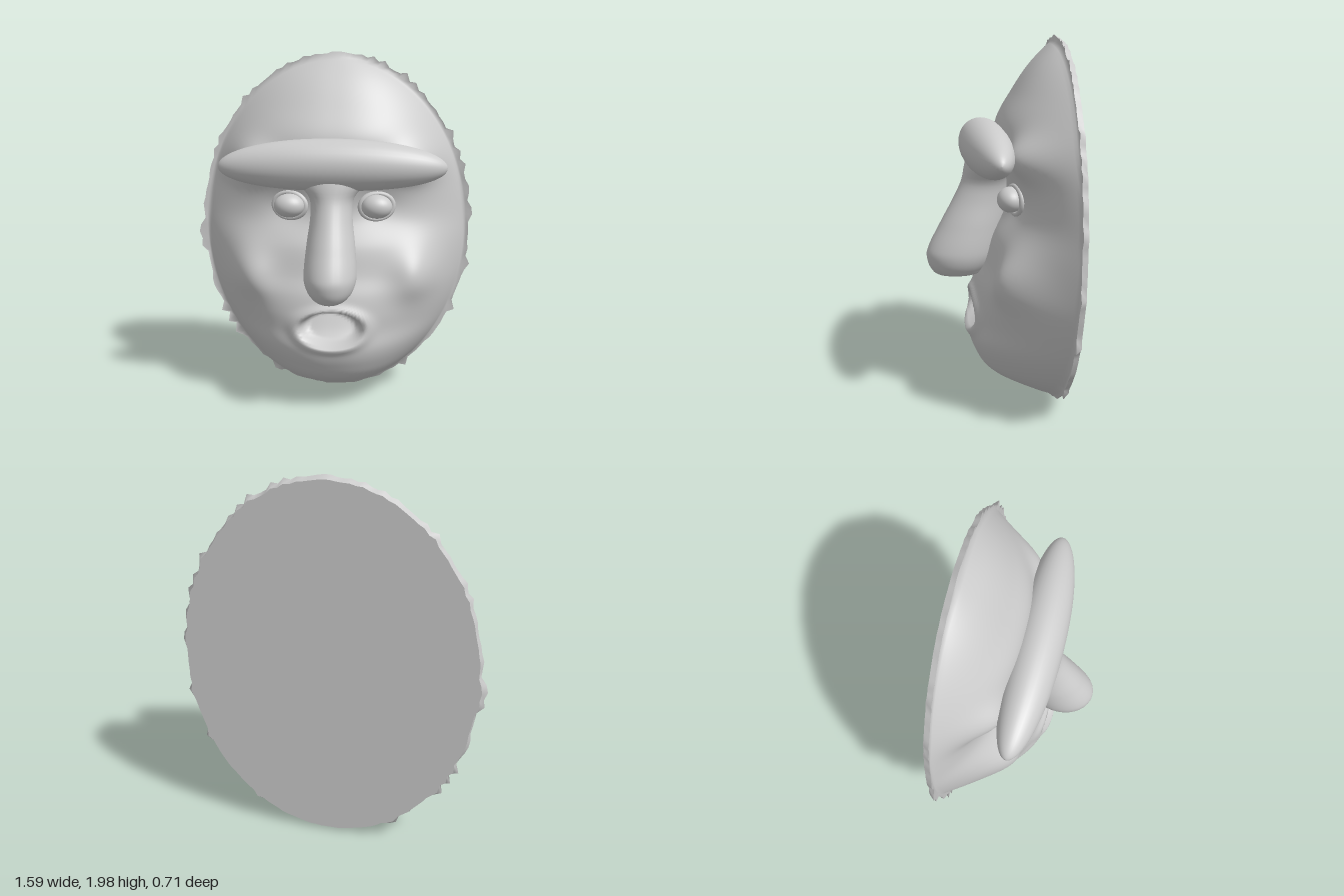
import * as THREE from 'three';

const material = new THREE.MeshStandardMaterial({ color: 0xcccccc, side: THREE.DoubleSide });

// Cubic interpolation of table rows [key, a, b, ...], keys ascending.
function interp(table, key) {
  const n = table.length;
  const k = THREE.MathUtils.clamp(key, table[0][0], table[n - 1][0]);
  let i = 0;
  while (i < n - 2 && k > table[i + 1][0]) i++;
  const step = table[i + 1][0] - table[i][0];
  const t = (k - table[i][0]) / step;
  const slope = (j, c) => {
    const a = table[Math.max(j - 1, 0)], b = table[Math.min(j + 1, n - 1)];
    return (b[c] - a[c]) / (b[0] - a[0]) * step;
  };
  return table[i].slice(1).map((v, c) => {
    const w = table[i + 1][c + 1], m0 = slope(i, c + 1), m1 = slope(i + 1, c + 1);
    return v + t * (m0 + t * (3 * (w - v) - 2 * m0 - m1 + t * (2 * (v - w) + m0 + m1)));
  });
}

// Surface of rows of points, each row a closed ring.
function ringSurface(rows, cols, point) {
  const pos = [], index = [];
  for (let i = 0; i <= rows; i++)
    for (let j = 0; j < cols; j++) pos.push(...point(i / rows, j / cols * Math.PI * 2, i, j));
  for (let i = 0; i < rows; i++)
    for (let j = 0; j < cols; j++) {
      const k = (j + 1) % cols;
      const a = i * cols + j, b = i * cols + k, c = a + cols, d = b + cols;
      index.push(a, c, b, b, c, d);
    }
  const g = new THREE.BufferGeometry();
  g.setAttribute('position', new THREE.Float32BufferAttribute(pos, 3));
  g.setIndex(index);
  g.computeVertexNormals();
  return g;
}

function add(group, name, geometry) {
  const mesh = new THREE.Mesh(geometry, material);
  mesh.name = name;
  group.add(mesh);
  return mesh;
}

const W = 0.765, H = 0.978, BACK = -0.355, SEGMENTS = 150;

// Depth of the face along its middle: [y, z]
const profile = [
  [0, -0.35], [0.05, -0.25], [0.1, -0.15], [0.2, 0.03], [0.3, 0.1], [0.4, 0.13], [0.5, 0.115],
  [0.6, 0.11], [0.7, 0.09], [0.8, 0.05], [0.95, 0.01], [1.1, -0.06], [1.25, -0.06], [1.4, -0.02],
  [1.55, -0.03], [1.7, -0.11], [1.85, -0.21], [2, -0.35],
];

const bump = (x, y, cx, cy, rx, ry) => Math.exp(-(((x - cx) / rx) ** 2) - ((y - cy) / ry) ** 2);

// Height of the face surface, with cheeks, brow mounds, sockets and mouth.
function faceDepth(x, y) {
  const ax = Math.abs(x);
  const w = Math.max(W * Math.sqrt(Math.max(1 - ((y - 1) / H) ** 2, 0)), 0.001);
  const u = Math.min(ax / w, 1);
  let z = BACK + (interp(profile, y)[0] - BACK) * (1 - u ** 2.5);
  z += 0.085 * bump(ax, y, 0.47, 0.8, 0.13, 0.14);
  z += 0.08 * bump(ax, y, 0.45, 1.41, 0.12, 0.1);
  z -= 0.025 * bump(ax, y, 0.25, 1.17, 0.13, 0.1);
  const d = Math.hypot(x / 0.18, (y - 0.52) / 0.1);
  const inside = 1 - THREE.MathUtils.smoothstep(d, 0.72, 1.05);
  z += 0.02 * Math.exp(-(((d - 1.1) / 0.25) ** 2));
  return z - inside * (0.07 + 0.45 * (y - 0.52));
}

// Seeded ragged outline
function raggedRim() {
  let seed = 17;
  const rand = () => (seed = (seed * 16807) % 2147483647) / 2147483647;
  return Array.from({ length: SEGMENTS }, (_, j) => {
    const a = j / SEGMENTS * Math.PI * 2;
    const calm = 1 - 0.7 * Math.abs(Math.sin(a)) ** 8;
    const r = rand();
    return 1 + calm * (0.05 * r ** 3 - 0.008) + 0.01;
  });
}

export function createModel() {
  const group = new THREE.Group();
  group.name = 'mask';
  const rim = raggedRim();

  // Face relief
  add(group, 'face', ringSurface(72, SEGMENTS, (t, a, i, j) => {
    const edge = t === 1;
    const r = edge ? rim[j] : t;
    const x = r * W * Math.cos(a), y = 1 + r * H * Math.sin(a);
    return [x, y, edge ? -0.325 : Math.max(faceDepth(x, y), -0.33)];
  }));

  // Rim turning in to the flat back
  add(group, 'rim', ringSurface(1, SEGMENTS, (t, a, i, j) => {
    const r = i ? 0.5 * rim[j] + 0.49 : rim[j];
    return [r * W * Math.cos(a), 1 + r * H * Math.sin(a), i ? BACK : -0.325];
  }));
  add(group, 'back', ringSurface(1, SEGMENTS, (t, a, i, j) => {
    const r = i ? 0 : 0.5 * rim[j] + 0.49;
    return [r * W * Math.cos(a), 1 + r * H * Math.sin(a), BACK];
  }));

  // Heavy brow, tapering to blunt tips
  add(group, 'brow', ringSurface(40, 32, (t, a) => {
    const s = -Math.cos(t * Math.PI);
    const r = Math.sqrt(Math.max(1 - Math.abs(s) ** 2.2, 0));
    return [0.61 * s, 1.42 - 0.015 * s * s + 0.138 * r * Math.cos(a),
      0.04 - 0.015 * s * s + 0.13 * r * Math.sin(a)];
  }));

  // Nose sections from the tip up: [y, front z, back z, half width]
  const nose = [
    [0.709, 0.21, 0.2, 0], [0.72, 0.29, 0.09, 0.065], [0.75, 0.33, 0.05, 0.105],
    [0.8, 0.352, 0.01, 0.132], [0.86, 0.353, -0.02, 0.141], [1, 0.285, -0.06, 0.13],
    [1.15, 0.205, -0.1, 0.113], [1.24, 0.165, -0.12, 0.12], [1.31, 0.15, -0.12, 0.17],
    [1.42, 0.12, -0.12, 0.24],
  ];
  add(group, 'nose', ringSurface(48, 32, (t, a) => {
    const y = 0.709 + 0.711 * t ** 1.6;
    const [front, back, half] = interp(nose, y);
    return [half * Math.sin(a), y, (front + back) / 2 + (front - back) / 2 * Math.cos(a)];
  }));

  // Eyes with thin lids
  for (const side of [1, -1]) {
    const name = side > 0 ? 'left' : 'right';
    const eye = add(group, name + 'Eye', new THREE.SphereGeometry(1, 28, 20));
    eye.scale.set(0.085, 0.066, 0.068);
    eye.position.set(side * 0.24, 1.175, -0.066);
    const lid = add(group, name + 'Eyelid', new THREE.TorusGeometry(0.09, 0.018, 10, 32));
    lid.scale.set(1, 0.8, 1);
    lid.rotation.y = side * 0.25;
    lid.position.set(side * 0.24, 1.172, -0.095);
  }
  return group;
}
